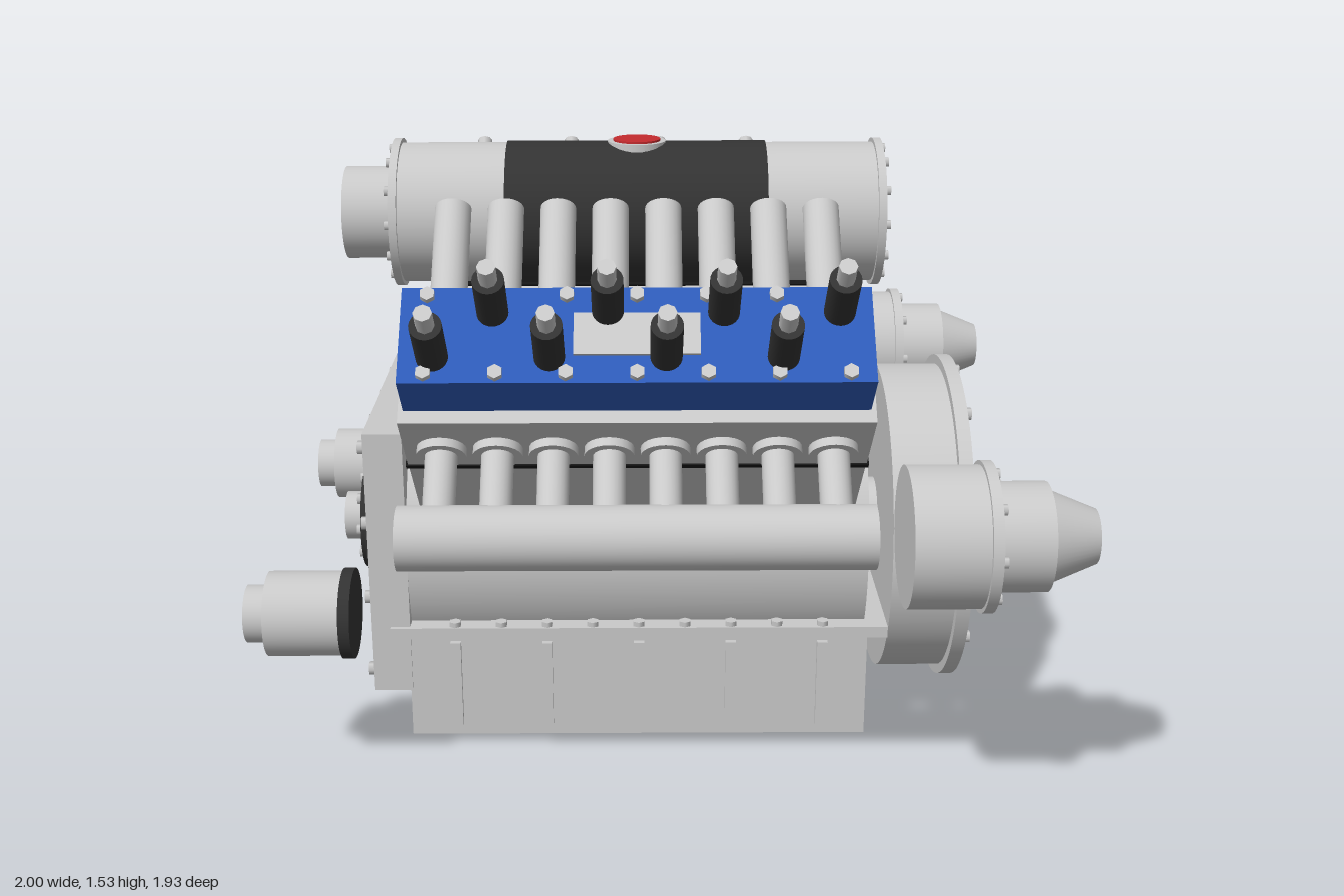
import * as THREE from 'three';

const mat = (name, color) => {
  const m = new THREE.MeshStandardMaterial({ color });
  m.name = name;
  return m;
};

export function createModel() {
  const steel = mat('light steel', 0xcacaca);
  const blue = mat('blue paint', 0x2e5cba);
  const dark = mat('dark rubber', 0x333333);
  const black = mat('black gasket', 0x161616);
  const copper = mat('copper', 0xd8946c);
  const red = mat('red cap', 0xc42b2e);

  const engine = new THREE.Group();
  engine.name = 'engine';
  const CY = 0.505; // crankshaft height
  const MID = -0.043; // middle of the cylinder banks along x
  const STEP = 0.1305; // cylinder spacing

  const group = (name, parent = engine) => {
    const g = new THREE.Group();
    g.name = name;
    parent.add(g);
    return g;
  };
  const add = (parent, name, geo, m, x = 0, y = 0, z = 0) => {
    const mesh = new THREE.Mesh(geo, m);
    mesh.name = name;
    mesh.position.set(x, y, z);
    parent.add(mesh);
    return mesh;
  };
  // box given by its extents on each axis
  const box = (parent, name, m, x0, x1, y0, y1, z0, z1) =>
    add(parent, name, new THREE.BoxGeometry(x1 - x0, y1 - y0, z1 - z0), m,
      (x0 + x1) / 2, (y0 + y1) / 2, (z0 + z1) / 2);
  // cylinder along x, from x0 (radius r) to x1 (radius r1)
  const cylX = (parent, name, m, r, x0, x1, y, z, r1 = r, seg = 48) => {
    const geo = new THREE.CylinderGeometry(r, r1, x1 - x0, seg).rotateZ(Math.PI / 2);
    return add(parent, name, geo, m, (x0 + x1) / 2, y, z);
  };
  const cylY = (parent, name, m, r, y0, y1, x, z, seg = 24) =>
    add(parent, name, new THREE.CylinderGeometry(r, r, y1 - y0, seg), m, x, (y0 + y1) / 2, z);
  const cylZ = (parent, name, m, r, z0, z1, x, y, seg = 24) =>
    add(parent, name, new THREE.CylinderGeometry(r, r, z1 - z0, seg).rotateX(Math.PI / 2),
      m, x, y, (z0 + z1) / 2);
  // ring of hexagonal bolts around an x axis
  const boltRing = (parent, n, ring, x0, x1, y, z, r = 0.014) => {
    for (let i = 0; i < n; i++) {
      const a = (i / n) * Math.PI * 2;
      cylX(parent, 'bolt', steel, r, x0, x1, y + Math.cos(a) * ring, z + Math.sin(a) * ring, r, 6);
    }
  };

  // crankcase
  const crankcase = group('crankcase');
  cylX(crankcase, 'crankcaseBody', steel, 0.36, -0.64, 0.545, 0.5, 0, 0.36, 64);
  cylX(crankcase, 'crankshaft', steel, 0.1, 0.54, 0.62, CY, 0);

  // oil pan with flange, ribs and drain plug
  const pan = group('oilPan');
  box(pan, 'panBody', steel, -0.635, 0.55, 0.025, 0.32, -0.355, 0.355);
  box(pan, 'panFlange', steel, -0.68, 0.6, 0.305, 0.335, -0.37, 0.37);
  cylY(pan, 'drainPlug', steel, 0.018, 0, 0.03, 0.2, 0, 6);
  for (const s of [-1, 1]) {
    for (let i = 0; i < 5; i++) {
      const rib = add(pan, 'panRib', new THREE.BoxGeometry(0.027, 0.235, 0.03), steel,
        -0.515 + i * 0.237, 0.175, s * 0.355);
      rib.castShadow = false;
    }
    for (let i = 0; i < 9; i++)
      cylY(pan, 'panBolt', steel, 0.016, 0.33, 0.348, -0.515 + i * 0.1185, s * 0.352, 6);
  }

  // timing cover with bolts round its edge
  const cover = group('timingCover');
  box(cover, 'coverPlate', steel, -0.73, -0.63, 0.155, 0.86, -0.36, 0.36);
  for (let i = 0; i < 4; i++) {
    const y = 0.2 + i * 0.204;
    for (const z of i % 3 ? [-0.32, 0.32] : [-0.32, -0.107, 0.107, 0.32])
      cylX(cover, 'coverBolt', steel, 0.017, -0.748, -0.725, y, z, 0.017, 6);
  }

  // crank pulley
  const pulley = group('crankPulley');
  cylX(pulley, 'pulleyRim', dark, 0.175, -0.765, -0.735, CY, 0);
  cylX(pulley, 'pulleyCore', dark, 0.165, -0.74, -0.725, CY, 0);
  cylX(pulley, 'pulleyFace', dark, 0.14, -0.782, -0.76, CY, 0);
  cylX(pulley, 'pulleyHub', steel, 0.065, -0.835, -0.775, CY, 0);
  boltRing(pulley, 8, 0.108, -0.795, -0.775, CY, 0, 0.015);

  // flywheel housing and output shaft
  const flywheel = group('flywheel');
  cylX(flywheel, 'flywheelBody', steel, 0.41, 0.6, 0.78, CY, 0, 0.41, 72);
  cylX(flywheel, 'flywheelFlange', steel, 0.435, 0.765, 0.8, CY, 0, 0.435, 72);
  cylX(flywheel, 'outputShaft', steel, 0.093, 0.79, 0.948, CY, 0);
  boltRing(flywheel, 12, 0.408, 0.79, 0.814, CY, 0, 0.016);

  // intake plenum
  const plenum = group('intakePlenum');
  const PY = 1.345;
  cylX(plenum, 'plenumEnd', steel, 0.178, -0.65, -0.375, PY, 0);
  cylX(plenum, 'plenumBand', dark, 0.182, -0.375, 0.285, PY, 0);
  cylX(plenum, 'plenumEnd', steel, 0.178, 0.285, 0.57, PY, 0);
  cylX(plenum, 'plenumFlange', steel, 0.189, -0.662, -0.642, PY, 0);
  cylX(plenum, 'plenumFlange', steel, 0.189, 0.56, 0.58, PY, 0);
  cylX(plenum, 'intakeStub', steel, 0.118, -0.79, -0.65, PY, 0);
  boltRing(plenum, 12, 0.165, 0.575, 0.592, PY, 0, 0.012);
  boltRing(plenum, 12, 0.165, -0.674, -0.655, PY, 0, 0.012);
  cylY(plenum, 'capRing', steel, 0.074, 1.5, 1.53, MID, 0, 32);
  cylY(plenum, 'cap', red, 0.06, 1.51, 1.535, MID, 0, 32);

  // two cylinder banks, local y along the cylinders, the rear one turned half round
  for (const side of [0, 1]) {
    const turn = group(side ? 'rearBank' : 'frontBank');
    turn.position.set(MID, CY, 0);
    turn.rotation.y = side * Math.PI;
    const bank = group('bankParts', turn);
    bank.rotation.x = Math.PI / 4;

    box(bank, 'cylinderBlock', steel, -0.545, 0.545, 0.2, 0.64, -0.15, 0.15);
    box(bank, 'headGasket', black, -0.55, 0.55, 0.635, 0.65, -0.158, 0.158);
    box(bank, 'cylinderHead', steel, -0.545, 0.545, 0.65, 0.868, -0.154, 0.154);
    box(bank, 'valveCover', blue, -0.533, 0.533, 0.868, 1.003, -0.122, 0.122);
    box(bank, 'coverPanel', steel, -0.142, 0.142, 1.002, 1.01, -0.053, 0.053);

    for (let i = 0; i < 7; i++)
      for (const w of [-0.1, 0.1])
        cylY(bank, 'coverBolt', steel, 0.018, 1, 1.018, -0.474 + i * 0.158, w, 6);

    for (let i = 0; i < 8; i++) {
      const x = (i - 3.5) * STEP;
      const w = i % 2 ? -0.057 : 0.057;
      // ignition coil
      cylY(bank, 'coil', dark, 0.036, 1, 1.145, x, w);
      cylY(bank, 'coilTip', steel, 0.021, 1.14, 1.2, x, w, 8);
      // intake runner
      cylZ(bank, 'intakeRunner', steel, 0.045, -0.5, -0.14, x, 0.753);
      // injector clamp
      box(bank, 'injector', black, x - 0.024, x + 0.024, 0.79, 0.85, -0.205, -0.15);
      // exhaust runner and its flange
      cylZ(bank, 'exhaustRunner', steel, 0.038, 0.14, 0.37, x, 0.737);
      cylZ(bank, 'exhaustFlange', steel, 0.058, 0.15, 0.175, x, 0.737);
    }
    cylX(bank, 'fuelRail', copper, 0.02, -0.515, 0.515, 0.832, -0.182, 0.02, 16);
  }

  for (const s of [-1, 1]) {
    // exhaust manifold
    const z = s * 0.79, y = 0.757;
    cylX(engine, 'exhaustManifold', steel, 0.075, -0.59, 0.5, y, z);

    // turbine housing
    const turbo = group('turbine');
    cylX(turbo, 'turbineBody', steel, 0.165, 0.565, 0.74, y, z);
    cylX(turbo, 'turbineFlange', steel, 0.175, 0.735, 0.76, y, z);
    cylX(turbo, 'turbineNeck', steel, 0.127, 0.755, 0.887, y, z);
    cylX(turbo, 'turbineCone', steel, 0.11, 0.887, 1, y, z, 0.064);
    boltRing(turbo, 8, 0.152, 0.755, 0.773, y, z, 0.013);

    // oil filter
    const filter = group('oilFilter');
    const fz = s * 0.545, fy = 0.46;
    cylX(filter, 'filterSeal', dark, 0.111, -0.765, -0.737, fy, fz);
    cylX(filter, 'filterBody', steel, 0.104, -0.947, -0.765, fy, fz);
    cylX(filter, 'filterEnd', steel, 0.071, -1, -0.945, fy, fz);
  }

  return engine;
}
